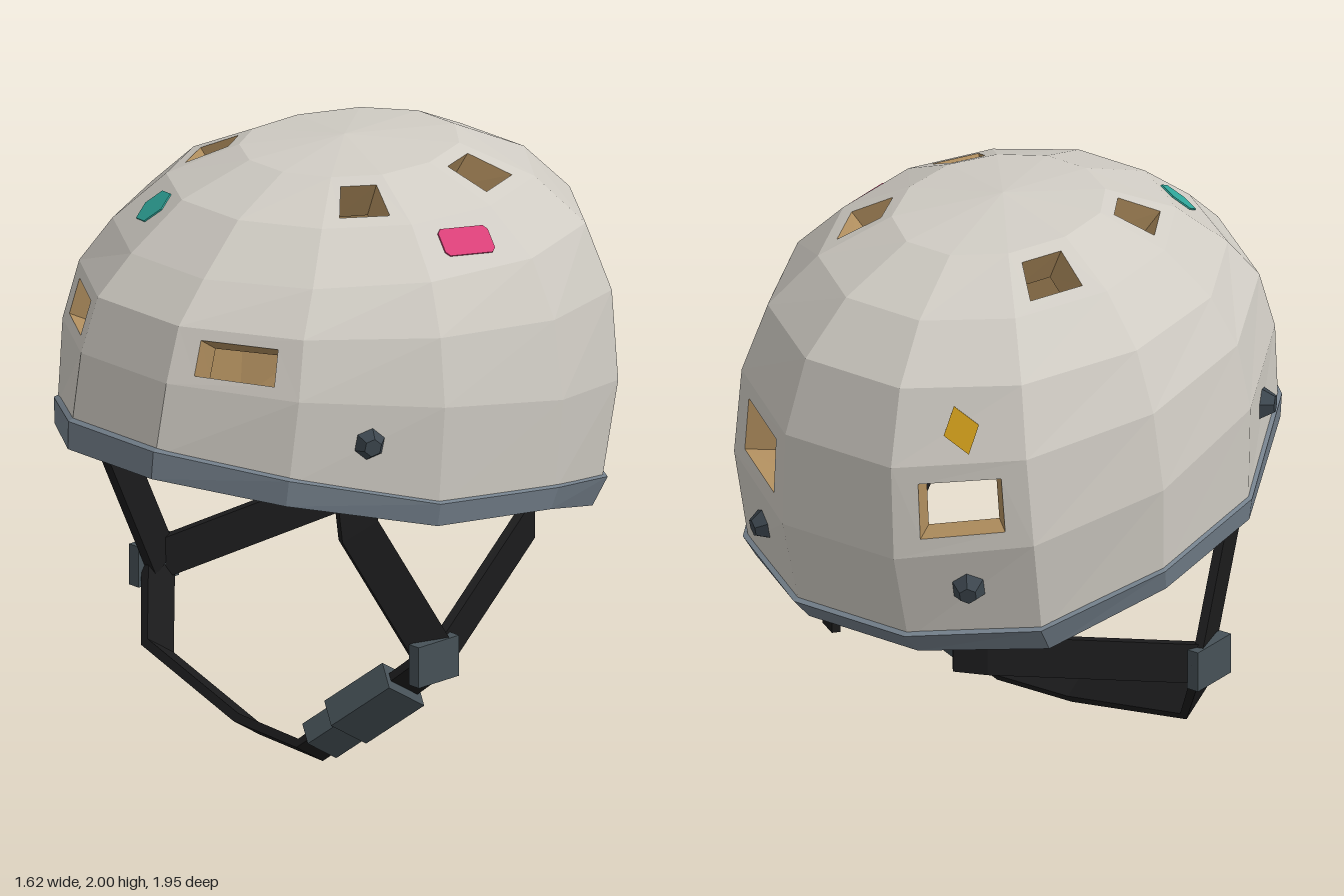
import * as THREE from 'three';

const mat = (name, color) => {
  const m = new THREE.MeshStandardMaterial({ color });
  m.name = name;
  return m;
};
const V = (x, y, z) => new THREE.Vector3(x, y, z);
const COLS = 12;
const S75 = Math.sin(Math.PI * 75 / 180), C15 = Math.cos(Math.PI / 12);
const WAIST = -0.035; // z of the widest line

// Point on a twelve-sided, slightly egg-shaped ring: half width, front z, back z,
// and a height from cosine c or a column table
function ringPoint(X, zf, zb, height, col) {
  const i = ((col % COLS) + COLS) % COLS;
  const t = (15 + 30 * i) * Math.PI / 180;
  const c = Math.cos(t) / C15;
  const half = typeof X === 'function' ? X(c) : X;
  const y = typeof height === 'function' ? height(c) : height[Math.min(i, 11 - i)];
  const reach = c > 0 ? zf - WAIST : WAIST - zb;
  return V(half * Math.sin(t) / S75 * (1 - 0.05 * c), y, WAIST + reach * c);
}
const curve = (f, s, b) => c => s + (f - b) / 2 * c + ((f + b) / 2 - s) * c * c;

// Heights of the sloping lower edge, front column to back column
const TOP = [1.22, 1.145, 1.01, 0.95, 0.835, 0.80];
const BOTTOM = [1.115, 1.045, 0.92, 0.865, 0.735, 0.705];
const INNER = [1.115, 1.04, 0.92, 0.86, 0.705, 0.70];
const INNER_HALF = curve(0.69, 0.69, 0.57);
const lift = (table, d) => table.map(y => y + d);

// Shell rings below the crown
const CROWN = V(0, 2, -0.07);
const RINGS = [
  [0.31, 0.28, -0.48, curve(1.974, 1.965, 1.957)],
  [0.525, 0.53, -0.73, curve(1.883, 1.86, 1.835)],
  [0.675, 0.72, -0.895, curve(1.735, 1.71, 1.666)],
  [0.757, 0.85, -0.975, curve(1.61, 1.53, 1.416)],
  [0.797, 0.915, -0.975, curve(1.43, 1.285, 1.09)],
  [0.78, 0.96, -0.89, lift(TOP, -0.03)],
];
const outer = (r, c) => r === 0 ? CROWN.clone() : ringPoint(...RINGS[r - 1], c);

// Liner: the shell moved inwards along its rounded normal
function inner(r, c) {
  if (r === 6) return ringPoint(INNER_HALF, 0.87, -0.8, INNER, c);
  const p = outer(r, c);
  const n = V(p.x / 0.64, (p.y - 1.1) / 0.81, (p.z + 0.03) / 0.9).normalize();
  return p.addScaledVector(n, -0.14);
}

// Corners of one panel, counter-clockwise from outside
const panel = (p, r, c) => [p(r + 1, c), p(r + 1, c + 1), p(r, c + 1), p(r, c)];
const VENTS = [[1, 1], [1, 9], [1, 3], [1, 7], [4, 0], [4, 10], [4, 4], [4, 6]];
const isVent = (r, c) => VENTS.some(v => v[0] === r && v[1] === c);

// Corners of a vent set inside a panel
function inset(q, k = 0.195) {
  const at = (u, v) => q[0].clone().lerp(q[1], u).lerp(q[3].clone().lerp(q[2], u), v);
  return [at(k, k), at(1 - k, k), at(1 - k, 1 - k), at(k, 1 - k)];
}

// Faceted geometry from three- or four-cornered faces
function faceted(faces) {
  const pts = [];
  for (const f of faces) {
    pts.push(f[0], f[1], f[2]);
    if (f.length > 3) pts.push(f[0], f[2], f[3]);
  }
  const g = new THREE.BufferGeometry().setFromPoints(pts);
  g.computeVertexNormals();
  return g;
}

function domeFaces(p, flip) {
  const faces = [];
  for (let r = 0; r < 6; r++) for (let c = 0; c < COLS; c++) {
    const q = panel(p, r, c);
    if (r === 0) faces.push(q.slice(0, 3));
    else if (isVent(r, c)) {
      const h = inset(q);
      for (let i = 0; i < 4; i++) {
        const j = (i + 1) % 4;
        faces.push([q[i], q[j], h[j], h[i]]);
      }
    } else faces.push(q);
  }
  return flip ? faces.map(f => f.slice().reverse()) : faces;
}

// Flat band with a constant width direction swept along points
function strapGeometry(points, widthDir, width, thick) {
  const W = widthDir.clone().normalize();
  const loops = points.map((p, i) => {
    const t = points[Math.min(i + 1, points.length - 1)].clone().sub(points[Math.max(i - 1, 0)]);
    const N = t.cross(W).normalize();
    return [[-1, -1], [1, -1], [1, 1], [-1, 1]].map(([a, b]) =>
      p.clone().addScaledVector(W, a * width / 2).addScaledVector(N, b * thick / 2));
  });
  const faces = [loops[0].slice().reverse(), loops[loops.length - 1]];
  for (let k = 0; k + 1 < loops.length; k++) for (let i = 0; i < 4; i++) {
    const j = (i + 1) % 4;
    faces.push([loops[k][i], loops[k][j], loops[k + 1][j], loops[k + 1][i]]);
  }
  return faceted(faces);
}

export function createModel() {
  const group = new THREE.Group();
  const shellMat = mat('shell grey', 0xd0ccc4), rimMat = mat('rim slate', 0x737f8a);
  const linerMat = mat('liner tan', 0xb08e5e), strapMat = mat('strap black', 0x1b1b1c);
  const buckleMat = mat('buckle grey', 0x465157), boltMat = mat('bolt grey', 0x3c464e);
  const add = (name, geometry, material) => {
    const m = new THREE.Mesh(geometry, material);
    m.name = name;
    group.add(m);
    return m;
  };

  // Shell, liner and the walls of the vents
  add('shell', faceted(domeFaces(outer, false)), shellMat);
  add('liner', faceted(domeFaces(inner, true)), linerMat);
  const walls = [];
  for (const [r, c] of VENTS) {
    const a = inset(panel(outer, r, c)), b = inset(panel(inner, r, c));
    for (let i = 0; i < 4; i++) {
      const j = (i + 1) % 4;
      walls.push([a[i], a[j], b[j], b[i]]);
    }
  }
  add('ventWalls', faceted(walls), linerMat);

  // Edge trim: a closed section carried round the sloping edge
  const section = [
    [0.765, 0.94, -0.88, lift(TOP, 0.004)],
    [0.793, 0.972, -0.915, lift(TOP, -0.012)],
    [0.78, 0.978, -0.835, BOTTOM],
    [INNER_HALF, 0.87, -0.8, INNER],
    [0.745, 0.92, -0.86, lift(TOP, -0.03)],
  ];
  const rim = [];
  for (let k = 0; k < section.length; k++) for (let c = 0; c < COLS; c++) {
    const u = section[k], d = section[(k + 1) % section.length];
    rim.push([ringPoint(...d, c), ringPoint(...d, c + 1), ringPoint(...u, c + 1), ringPoint(...u, c)]);
  }
  add('rim', faceted(rim), rimMat);

  // Places a mesh on a panel with local z facing outwards, shifted along and up the panel
  const placeOn = (mesh, r, c, out, along, up) => {
    const q = panel(outer, r, c);
    const n = q[2].clone().sub(q[0]).cross(q[3].clone().sub(q[1])).normalize();
    const u = q[1].clone().add(q[2]).sub(q[0]).sub(q[3]);
    u.addScaledVector(n, -u.dot(n)).normalize();
    const v = n.clone().cross(u);
    mesh.quaternion.setFromRotationMatrix(new THREE.Matrix4().makeBasis(u, v, n));
    q.forEach(p => mesh.position.addScaledVector(p, 0.25));
    const bulge = Math.abs(q[0].clone().add(q[2]).sub(q[1]).sub(q[3]).dot(n)) / 4;
    mesh.position.addScaledVector(n, out + bulge).addScaledVector(u, along).addScaledVector(v, up);
  };

  // Six-sided bolts
  for (const [r, c] of [[5, 1], [5, 9], [5, 4], [5, 6]]) {
    const g = new THREE.CylinderGeometry(0.03, 0.06, 0.05, 6).toNonIndexed();
    g.computeVertexNormals();
    placeOn(add('bolt', g.rotateX(Math.PI / 2), boltMat), r, c, 0.014, 0, 0.025);
  }

  // Painted patches
  const patch = (name, pts, turn, material, r, c, along, up) => {
    const shape = new THREE.Shape(pts.map(p => new THREE.Vector2(...p)));
    const g = new THREE.ExtrudeGeometry(shape, { depth: 0.005, bevelEnabled: false });
    placeOn(add(name, g.rotateZ(turn), material), r, c, 0.001, along, up);
  };
  const hexagon = [...Array(6)].map((_, i) => [0.072 * Math.cos(i * Math.PI / 3), 0.072 * Math.sin(i * Math.PI / 3)]);
  patch('hexagonPatch', hexagon, 0.25, mat('teal', 0x2fa79b), 2, 10, 0.012, 0.025);
  patch('diamondPatch', [[-0.06, 0], [0, -0.083], [0.06, 0], [0, 0.083]], 0.25, mat('yellow', 0xd4a01c), 3, 6, 0.005, -0.015);
  patch('barPatch', [[-0.1, -0.035], [-0.085, -0.05], [0.085, -0.05], [0.1, -0.035],
    [0.1, 0.035], [0.085, 0.05], [-0.085, 0.05], [-0.1, 0.035]], -0.12, mat('pink', 0xd94078), 2, 2, 0, 0.005);

  // Side straps, rear straps and sliders, mirrored
  for (const s of [1, -1]) {
    add('frontStrap', strapGeometry([V(s * 0.575, 1.02, 0.425), V(s * 0.583, 0.9, 0.415), V(s * 0.655, 0.4, 0.13)],
      V(-s * 0.28, -0.4, 0.88), 0.14, 0.03), strapMat);
    add('rearStrap', strapGeometry([V(s * 0.655, 0.415, 0.12), V(s * 0.32, 0.63, -0.6), V(s * 0.235, 0.645, -0.665)],
      V(0, 1, 0), 0.14, 0.03), strapMat);
    add('slider', new THREE.BoxGeometry(0.045, 0.14, 0.18), buckleMat).position.set(s * 0.666, 0.41, 0.155);
  }

  // Chin strap lying in one tilted plane
  const chin = (x, y) => V(x, y, 0.155 + (0.38 - y) * 0.64);
  const across = V(0, 0.54, 0.84).normalize();
  add('chinStrap', strapGeometry([chin(-0.66, 0.4), chin(-0.51, 0.175), chin(0, 0.065), chin(0.3, 0.055),
    chin(0.4, 0.15), chin(0.655, 0.4)], across, 0.14, 0.03), strapMat);

  // Buckle in two blocks along the chin strap
  const along = chin(0.62, 0.35).sub(chin(0.36, 0.12)).normalize();
  const facing = along.clone().cross(across).normalize();
  const basis = new THREE.Matrix4().makeBasis(along, facing.clone().cross(along), facing);
  for (const [name, x, y, l, w, t] of [['buckleBody', 0.48, 0.235, 0.25, 0.185, 0.1],
    ['buckleClip', 0.375, 0.135, 0.16, 0.15, 0.08]]) {
    const m = add(name, new THREE.BoxGeometry(l, w, t), buckleMat);
    m.quaternion.setFromRotationMatrix(basis);
    m.position.copy(chin(x, y));
  }
  return group;
}
